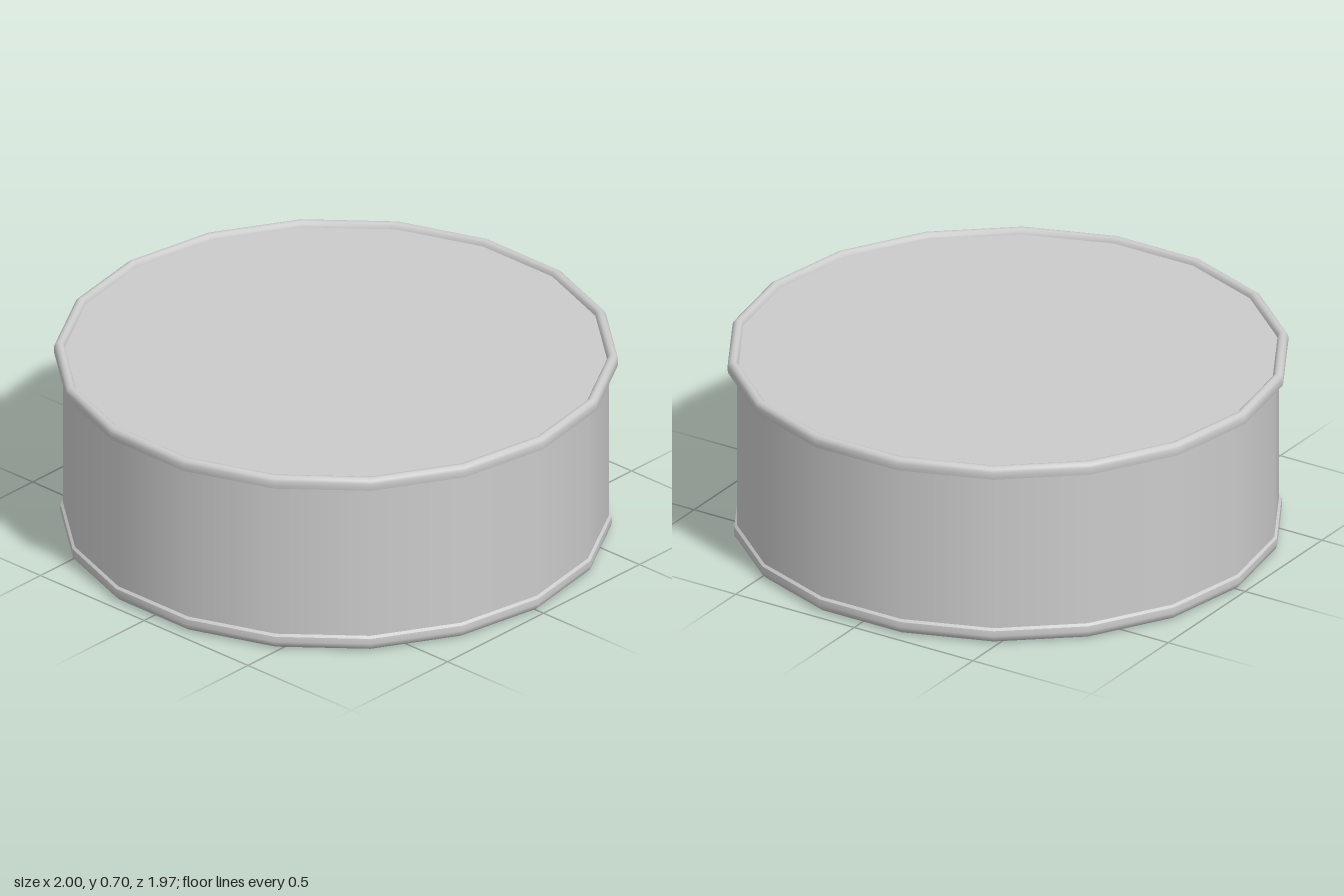
import * as THREE from 'three';

const SIDES = 18;

export function createModel() {
  const group = new THREE.Group();
  const material = new THREE.MeshStandardMaterial({ color: 0xcccccc, side: THREE.DoubleSide });

  // Revolves a [radius, height] profile, with a corner on the x axis
  function revolve(name, profile) {
    const points = profile.map(([r, y]) => new THREE.Vector2(r, y));
    const mesh = new THREE.Mesh(new THREE.LatheGeometry(points, SIDES, Math.PI / 2), material);
    mesh.name = name;
    group.add(mesh);
  }

  // Side wall between the two rims
  revolve('wall', [[0.967, 0.05], [0.967, 0.67]]);

  // Recessed end discs
  revolve('base', [[0, 0.045], [0.926, 0.045]]);
  revolve('lid', [[0.962, 0.68], [0, 0.68]]);

  // Rounded bottom rim
  revolve('bottomRim', [
    [0.925, 0.045], [0.924, 0.03], [0.928, 0.015], [0.938, 0.004], [0.95, 0],
    [0.963, 0.004], [0.974, 0.015], [0.978, 0.03], [0.976, 0.05],
  ]);
  revolve('bottomRimLedge', [[0.976, 0.05], [0.967, 0.058]]);

  // Wider top rim: flat underside and rounded crown
  revolve('topRimUnderside', [[0.965, 0.655], [0.998, 0.655]]);
  revolve('topRim', [
    [0.998, 0.655], [1, 0.667], [1, 0.682], [0.996, 0.692], [0.988, 0.698],
    [0.98, 0.7], [0.971, 0.698], [0.964, 0.691], [0.961, 0.68],
  ]);

  return group;
}
